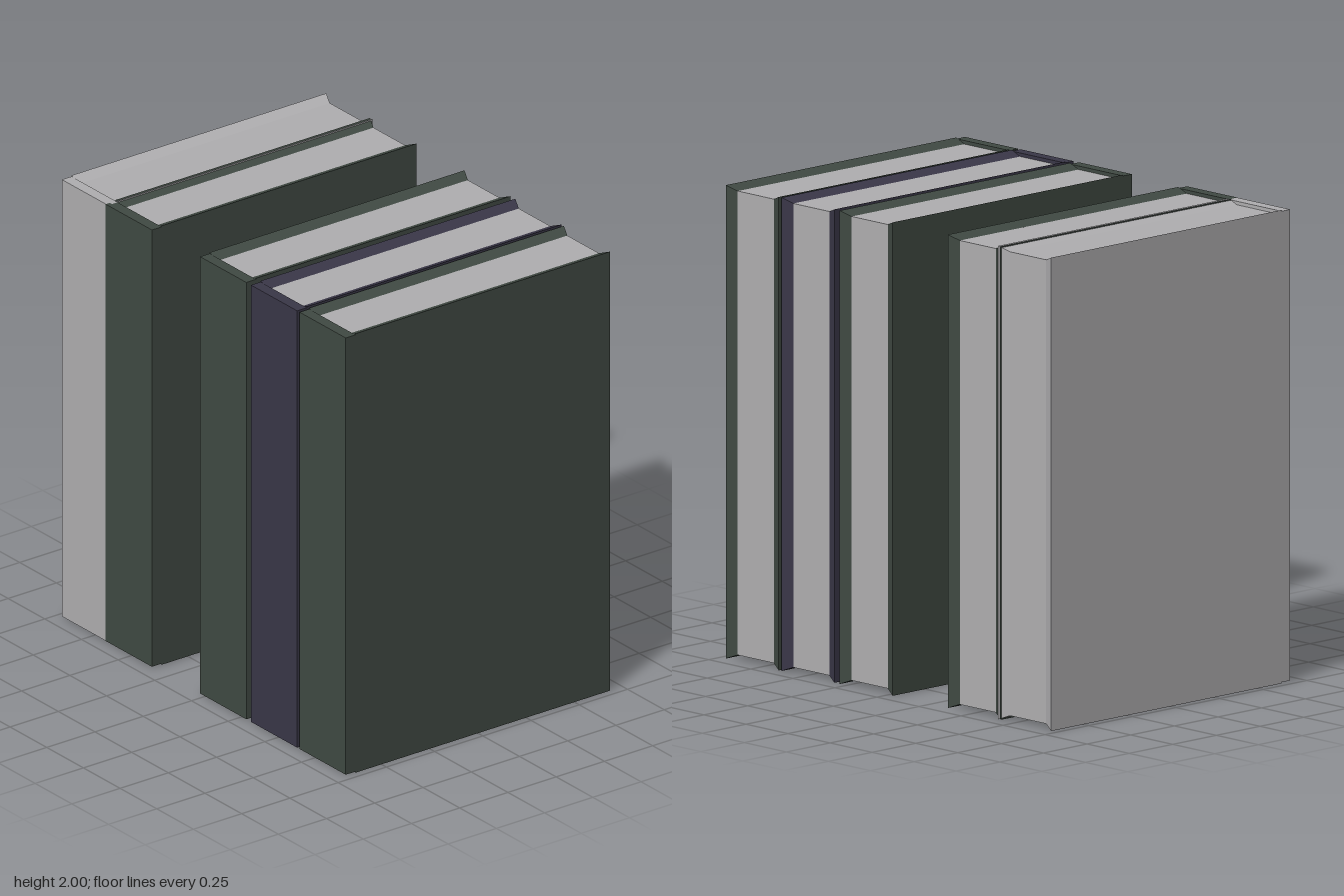
import * as THREE from 'three';

const HEIGHT = 2, BACK = -0.685, FRONT = 0.685, SPINE = 0.05, WIDTH = 0.315, BOARD = 0.05, INSET = 0.02;

const material = (name, color) => new THREE.MeshStandardMaterial({ name, color });

function box(name, mat, x0, x1, y0, y1, z0, z1) {
  const geometry = new THREE.BoxGeometry(x1 - x0, y1 - y0, z1 - z0);
  geometry.translate((x0 + x1) / 2, (y0 + y1) / 2, (z0 + z1) / 2);
  const mesh = new THREE.Mesh(geometry, mat);
  mesh.name = name;
  return mesh;
}

// Cover board whose top, bottom and back edges slope in towards the pages
function coverBoard(name, mat, x0, x1, side) {
  const mesh = box(name, mat, x0, x1, 0, HEIGHT, BACK, FRONT - SPINE);
  const pos = mesh.geometry.attributes.position;
  const middle = (x0 + x1) / 2;
  for (let i = 0; i < pos.count; i++) {
    if ((pos.getX(i) - middle) * side > 0) continue;
    pos.setY(i, pos.getY(i) > 1 ? HEIGHT - INSET : INSET);
    if (pos.getZ(i) < 0) pos.setZ(i, BACK + INSET);
  }
  mesh.geometry.computeVertexNormals();
  return mesh;
}

function book(name, cover, paper, x, forward = 0) {
  const group = new THREE.Group();
  group.name = name;
  const h = WIDTH / 2;
  group.add(
    coverBoard('rightCover', cover, -h, -h + BOARD, -1),
    coverBoard('leftCover', cover, h - BOARD, h, 1),
    box('spine', cover, -h, h, 0.005, HEIGHT - 0.005, FRONT - SPINE, FRONT),
    box('pages', paper, -h + BOARD, h - BOARD, INSET, HEIGHT - INSET, BACK + INSET, FRONT - SPINE)
  );
  group.position.set(x, 0, forward);
  return group;
}

export function createModel() {
  const grey = material('paper grey', 0xb0afb1);
  const green = material('dark green', 0x404a43);
  const purple = material('dark purple', 0x3a3748);

  // Row of books with a gap; the first two overlap slightly
  const model = new THREE.Group();
  model.name = 'books';
  model.add(
    book('greyBook', grey, grey, -0.811),
    book('greenBookOne', green, grey, -0.511, 0.001),
    book('greenBookTwo', green, grey, 0.131),
    book('purpleBook', purple, grey, 0.478),
    book('greenBookThree', green, grey, 0.809)
  );
  return model;
}
